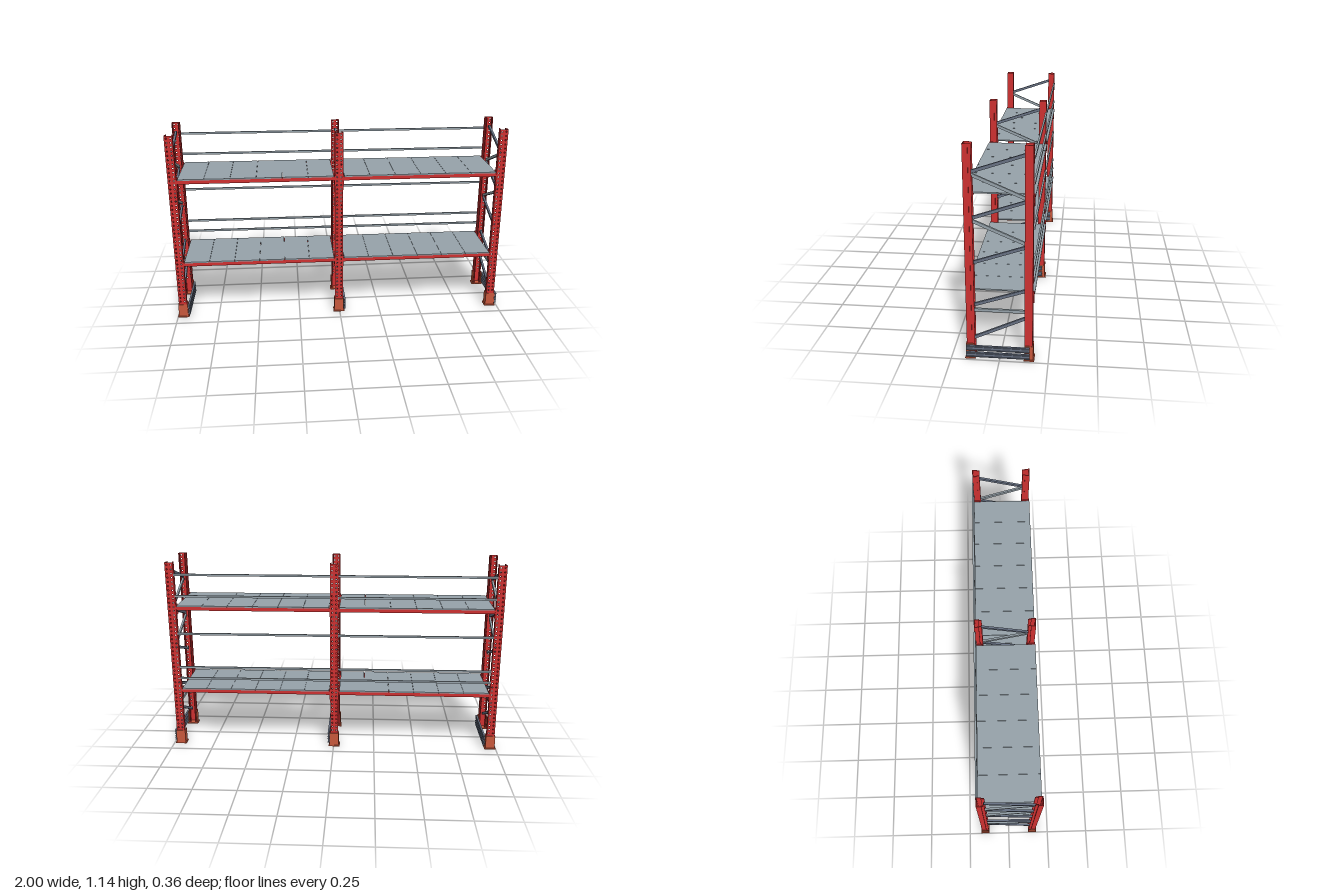
import * as THREE from 'three';

const material = (name, color) => {
  const m = new THREE.MeshStandardMaterial({ color });
  m.name = name;
  return m;
};
const red = material('red paint', 0xcf3131);
const orange = material('orange paint', 0xc8583c);
const steel = material('galvanised steel', 0x97a3ab);
const darkSteel = material('dark steel', 0x687284);

// Box given by its limits on each axis
function box(parent, name, mat, [x0, x1], [y0, y1], [z0, z1]) {
  const mesh = new THREE.Mesh(new THREE.BoxGeometry(x1 - x0, y1 - y0, z1 - z0), mat);
  mesh.position.set((x0 + x1) / 2, (y0 + y1) / 2, (z0 + z1) / 2);
  mesh.name = name;
  parent.add(mesh);
  return mesh;
}

const HEIGHT = 1.144, HALF = 0.024, T = 0.004;
const FRAMES = [-0.965, -0.004, 0.957];
const SHELVES = [0.37, 0.889]; // top surface heights
const RODS = [0.434, 0.504, 0.715, 0.945, 1.073];

// Perforated front web of an upright
function webGeometry() {
  const s = new THREE.Shape();
  s.moveTo(-HALF, 0.005).lineTo(HALF, 0.005).lineTo(HALF, HEIGHT).lineTo(-HALF, HEIGHT);
  s.closePath();
  for (let y = 0.105; y < HEIGHT - 0.01; y += 0.025) {
    for (const x of [-0.012, 0.012]) {
      const hole = new THREE.Path();
      hole.absarc(x, y, 0.0045, 0, Math.PI * 2, true);
      s.holes.push(hole);
    }
  }
  return new THREE.ExtrudeGeometry(s, { depth: T, bevelEnabled: false, curveSegments: 4 });
}
const web = webGeometry();

// Stepped open channel with its boot and foot plate, facing +z
function upright() {
  const g = new THREE.Group();
  g.name = 'upright';
  const face = new THREE.Mesh(web, red);
  face.name = 'uprightWeb';
  face.position.z = 0.165;
  g.add(face);
  const y = [0.005, HEIGHT];
  for (const s of [-1, 1]) {
    const span = (a, b) => [Math.min(s * a, s * b), Math.max(s * a, s * b)];
    box(g, 'uprightSide', red, span(HALF - T, HALF), y, [0.145, 0.165]);
    box(g, 'uprightStep', red, span(0.016, HALF), y, [0.142, 0.145]);
    box(g, 'uprightLip', red, span(0.016, 0.02), y, [0.127, 0.142]);
    box(g, 'bootSide', orange, span(HALF, 0.028), [0.006, 0.085], [0.128, 0.17]);
  }
  box(g, 'bootFront', orange, [-0.028, 0.028], [0.006, 0.085], [0.169, 0.173]);
  box(g, 'footPlate', orange, [-0.034, 0.034], [0, 0.007], [0.125, 0.178]);
  return g;
}

// Braces: height at the front, height at the back, material
const BRACES = [
  [0.111, 0.229, darkSteel], [0.268, 0.268, steel], [0.298, 0.384, darkSteel],
  [0.532, 0.62, darkSteel], [0.75, 0.641, steel], [0.769, 0.856, darkSteel],
  [0.985, 0.876, steel], [1.004, 1.09, darkSteel],
];

function frame(x) {
  const g = new THREE.Group();
  g.name = 'endFrame';
  g.position.x = x;
  const back = upright();
  back.rotation.y = Math.PI;
  g.add(upright(), back);
  for (const [front, rear, mat] of BRACES) {
    const angle = Math.atan2(rear - front, 0.254);
    const brace = box(g, 'brace', mat, [-0.006, 0.006], [-0.008, 0.008],
      [-0.133 / Math.cos(angle), 0.133 / Math.cos(angle)]);
    brace.position.y = (front + rear) / 2;
    brace.rotation.x = angle;
  }
  // Ribbed guard rails beside the feet
  for (const y of [0.015, 0.053]) {
    box(g, 'guardRail', darkSteel, [0.03, 0.036], [y, y + 0.027], [-0.155, 0.172]);
    for (const e of [y, y + 0.023])
      box(g, 'guardRailFlange', darkSteel, [0.036, 0.041], [e, e + 0.004], [-0.155, 0.172]);
    box(g, 'guardRailFace', darkSteel, [0.036, 0.04], [y + 0.008, y + 0.019], [-0.155, 0.172]);
  }
  return g;
}

function bay(x0, x1) {
  const g = new THREE.Group();
  g.name = 'bay';
  const a = x0 + HALF, b = x1 - HALF;
  for (const top of SHELVES) {
    // Deck panels side by side
    const n = 6, start = a + 0.007, w = (b - a - 0.013) / n;
    for (let i = 0; i < n; i++)
      box(g, 'deckPanel', steel, [start + i * w, start + (i + 1) * w - 0.0012],
        [top - 0.007, top], [-0.177, 0.175]);
    for (const s of [-1, 1]) {
      const span = (p, q) => [Math.min(s * p, s * q), Math.max(s * p, s * q)];
      // Beam with a stepped inner ledge
      box(g, 'beam', red, [a + 0.003, b - 0.003], [top - 0.029, top - 0.007], span(0.148, 0.172));
      box(g, 'beamLedge', red, [a + 0.003, b - 0.003], [top - 0.029, top - 0.016], span(0.134, 0.148));
      // Hooked end brackets
      for (const [x, d] of [[a, 1], [b, -1]]) {
        const across = (p, q) => [Math.min(x + d * p, x + d * q), Math.max(x + d * p, x + d * q)];
        box(g, 'beamBracket', red, across(0, 0.004), [top - 0.059, top + 0.003], span(0.134, 0.172));
        box(g, 'bracketHook', red, across(-0.006, 0.004), [top - 0.059, top + 0.003], span(0.1695, 0.173));
      }
    }
  }
  // Safety rods along the back
  for (const y of RODS)
    box(g, 'backRod', steel, [a, b], [y - 0.006, y + 0.006], [-0.174, -0.164]);
  return g;
}

export function createModel() {
  const model = new THREE.Group();
  model.name = 'palletRack';
  for (const x of FRAMES) model.add(frame(x));
  for (let i = 0; i < FRAMES.length - 1; i++) model.add(bay(FRAMES[i], FRAMES[i + 1]));
  return model;
}
